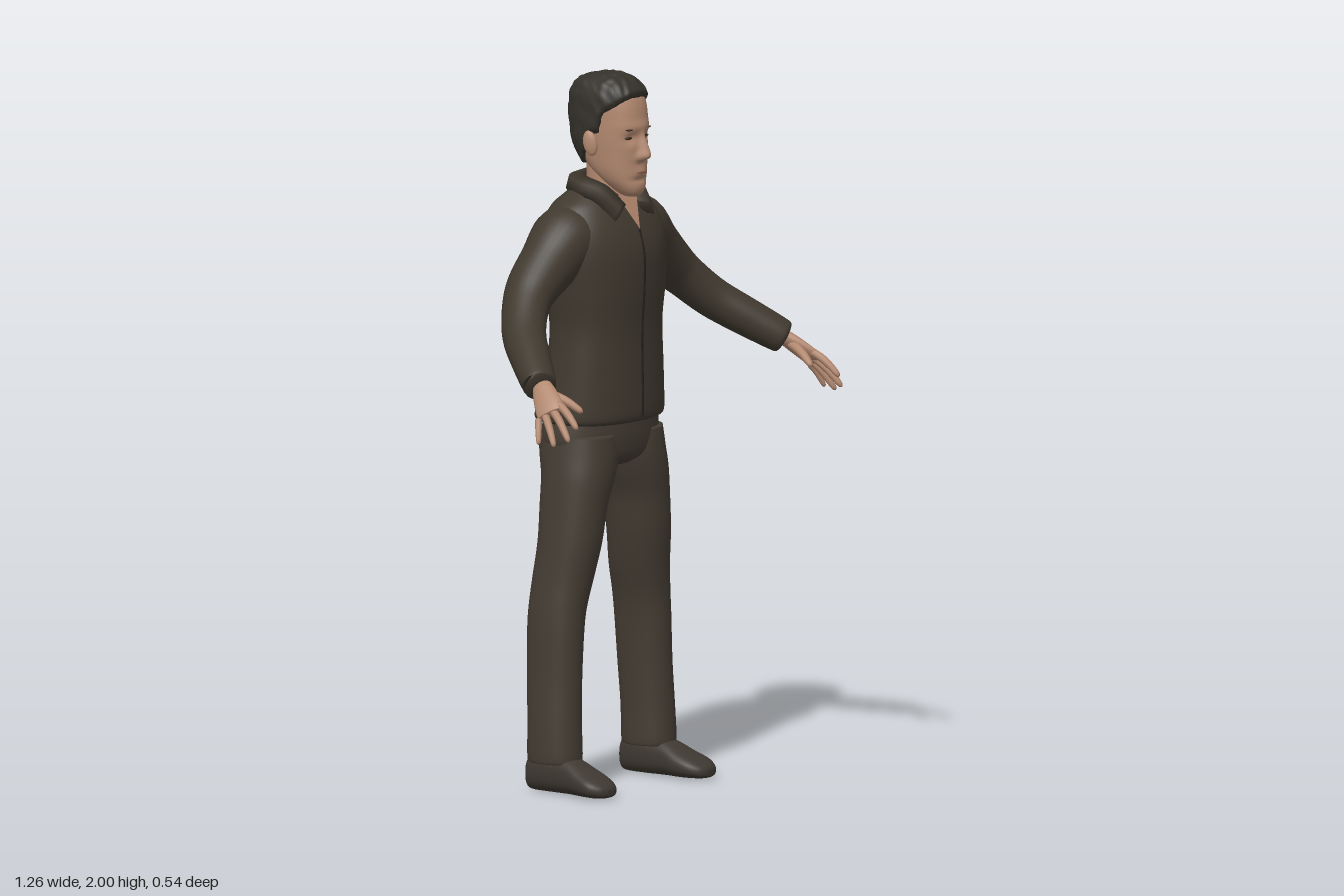
import * as THREE from 'three';

const V = (x, y, z) => new THREE.Vector3(x, y, z);
const mat = (name, color) => {
  const m = new THREE.MeshStandardMaterial({ color });
  m.name = name;
  return m;
};
const power = (v, p) => Math.sign(v) * Math.abs(v) ** p;
const gauss = (v, w) => Math.exp(-((v / w) ** 2));
const { smoothstep, lerp } = THREE.MathUtils;

// Catmull-Rom interpolation between rows of numbers
function spline(rows, steps) {
  const out = [], last = rows.length - 1;
  for (let k = 0; k <= last * steps; k++) {
    const i = Math.min(Math.floor(k / steps), last - 1), t = k / steps - i;
    const a = rows[Math.max(i - 1, 0)], b = rows[i], c = rows[i + 1], d = rows[Math.min(i + 2, last)];
    out.push(b.map((q, n) => q + 0.5 * t * (c[n] - a[n] + t * (2 * a[n] - 5 * q + 4 * c[n] - d[n]
      + t * (3 * (q - c[n]) + d[n] - a[n])))));
  }
  return out;
}

// Capped smooth surface through closed rings of points
function skinRings(rings) {
  const n = rings[0].length, m = rings.length, pos = [], idx = [];
  rings.flat().forEach(p => pos.push(p.x, p.y, p.z));
  for (const r of [rings[0], rings[m - 1]]) {
    const c = r.reduce((s, p) => s.add(p), V(0, 0, 0)).divideScalar(n);
    pos.push(c.x, c.y, c.z);
  }
  for (let j = 0; j < n; j++) {
    const k = (j + 1) % n, e = (m - 1) * n;
    for (let i = 0; i < m - 1; i++) {
      const a = i * n + j, b = i * n + k;
      idx.push(a, b, b + n, a, b + n, a + n);
    }
    idx.push(m * n, k, j, m * n + 1, e + j, e + k);
  }
  const g = new THREE.BufferGeometry();
  g.setAttribute('position', new THREE.Float32BufferAttribute(pos, 3));
  g.setIndex(idx);
  g.computeVertexNormals();
  return g;
}

// Rings along rows [x, y, z, halfWidth, halfDepth]; a fixed axis keeps rings parallel
function ringsAlong(rows, { across = V(1, 0, 0), axis, steps = 5, seg = 32, p = 1 } = {}) {
  const s = spline(rows, steps), at = i => V(...s[Math.min(Math.max(i, 0), s.length - 1)]);
  return s.map((r, i) => {
    const t = axis ? axis.clone() : at(i + 1).sub(at(i - 1)).normalize();
    const u = across.clone().addScaledVector(t, -across.dot(t)).normalize();
    const v = t.clone().cross(u);
    return Array.from({ length: seg }, (_, j) => {
      const a = j / seg * Math.PI * 2;
      return V(r[0], r[1], r[2]).addScaledVector(u, r[3] * power(Math.cos(a), p))
        .addScaledVector(v, r[4] * power(Math.sin(a), p));
    });
  });
}
const loft = (rows, o) => skinRings(ringsAlong(rows, o));
const UP = V(0, 1, 0);
// Rows [y, halfWidth, zFront, zBack] for upright body parts
const upright = rows => rows.map(([y, w, f, b]) => [0, y, (f + b) / 2, w, (f - b) / 2]);

function mirrored(g) {
  const m = g.clone().scale(-1, 1, 1), id = m.index.array;
  for (let i = 0; i < id.length; i += 3) [id[i], id[i + 1]] = [id[i + 1], id[i]];
  m.computeVertexNormals();
  return m;
}

export function createModel() {
  const model = new THREE.Group();
  const jacketMat = mat('jacket cloth', 0x40392f), trouserMat = mat('trouser cloth', 0x443c33);
  const shoeMat = mat('shoe leather', 0x3e3831), hairMat = mat('hair', 0x35312b);
  const skinMat = mat('skin', 0xb2886f), seamMat = mat('seam', 0x241f1a);
  const eyeMat = mat('eyes and brows', 0x3a2a22), lipMat = mat('lips', 0x8f6253);
  const add = (name, g, m) => {
    const mesh = new THREE.Mesh(g, m);
    mesh.name = name;
    model.add(mesh);
    return mesh;
  };
  const pair = (name, g, m) => {
    add('left ' + name, g, m);
    add('right ' + name, mirrored(g), m);
  };
  const blob = (x, y, z, a, b, c) => new THREE.SphereGeometry(1, 20, 14).scale(a, b, c).translate(x, y, z);

  // Jacket body and front seam
  const torso = [[1.03, .188, .015, -.25], [1.043, .2, .03, -.27], [1.1, .195, .032, -.252], [1.2, .186, .03, -.228],
    [1.3, .18, .03, -.222], [1.4, .192, .037, -.235], [1.5, .203, .037, -.25], [1.57, .2, .02, -.245],
    [1.63, .168, -.01, -.22], [1.66, .13, -.03, -.195], [1.685, .085, -.045, -.17], [1.695, .06, -.055, -.15]];
  add('jacket', loft(upright(torso), { axis: UP, seg: 64, p: .88 }), jacketMat);
  const seam = torso.slice(1, 8).map(r => V(.004, r[0], r[2] + .001));
  add('jacket front seam', new THREE.TubeGeometry(new THREE.CatmullRomCurve3(seam), 50, .0035, 6), seamMat);

  // Sleeves
  pair('sleeve', loft([[.1, 1.565, -.115, .08, .09], [.15, 1.545, -.118, .093, .1], [.22, 1.487, -.12, .083, .085],
    [.29, 1.432, -.118, .07, .077], [.345, 1.383, -.1, .06, .068], [.41, 1.318, -.052, .056, .062],
    [.47, 1.263, .022, .053, .056], [.525, 1.213, .095, .048, .048], [.53, 1.209, .1, .042, .042]],
  { across: V(.7, .7, 0) }), jacketMat);

  // Folded collar: inner and outer edge from the front point round to the nape
  const half = [[.026, 1.64, -.003, .085, 1.6, .008], [.052, 1.69, -.045, .115, 1.655, -.045],
    [.07, 1.713, -.1, .11, 1.665, -.115], [.05, 1.722, -.148, .07, 1.675, -.182]];
  const flip = half.map(r => r.map((v, i) => (i % 3 ? v : -v))).reverse();
  const collar = spline([...half, [0, 1.724, -.163, 0, 1.68, -.2], ...flip], 6).map(r => {
    const a = V(r[0], r[1], r[2]), b = V(r[3], r[4], r[5]), mid = a.clone().lerp(b, .5);
    const out = V(mid.x, 0, mid.z + .09).normalize().add(UP).multiplyScalar(.011);
    return [a, mid.clone().add(out), b, mid.sub(out)];
  });
  add('collar', skinRings(collar), jacketMat);

  // Open neckline and neck
  const neckline = new THREE.BufferGeometry().setFromPoints([V(-.042, 1.665, -.022), V(0, 1.572, .026), V(.042, 1.665, -.022)]);
  neckline.setIndex([0, 1, 2]);
  neckline.computeVertexNormals();
  add('neckline', neckline, skinMat);
  add('neck', loft(upright([[1.62, .062, -.022, -.16], [1.68, .056, -.03, -.15], [1.77, .056, -.035, -.15]]),
    { axis: UP }), skinMat);

  // Head with sculpted face
  const head = upright([[1.662, .018, .016, -.025], [1.672, .032, .026, -.045], [1.688, .045, .031, -.07],
    [1.71, .058, .03, -.1], [1.74, .068, .03, -.135], [1.78, .074, .032, -.165], [1.83, .079, .034, -.185],
    [1.88, .08, .032, -.193], [1.92, .08, .025, -.193], [1.95, .075, .012, -.185], [1.975, .06, -.015, -.162],
    [1.988, .03, -.05, -.115]]);
  const headRings = () => ringsAlong(head, { axis: UP, seg: 96, steps: 6, p: .87 });
  const faceRings = headRings();
  faceRings.flat().forEach(q => {
    if (q.z < -.03) return;
    const { x, y } = q, ax = Math.abs(x);
    const nose = smoothstep(y, 1.758, 1.778) * (1 - smoothstep(y, 1.778, 1.86));
    q.z += .034 * nose * gauss(x, .009 + .007 * gauss(y - 1.772, .018))
      - .011 * gauss(ax - .033, .019) * gauss(y - 1.828, .015)
      + .005 * gauss(y - 1.86, .014) * gauss(x, .055)
      + .006 * gauss(y - 1.732, .014) * gauss(x, .026)
      - .004 * gauss(y - 1.711, .008) * gauss(x, .03);
  });
  add('head', skinRings(faceRings), skinMat);
  pair('ear', blob(0, 0, 0, .011, .036, .021).rotateX(-.2).rotateY(-.25).translate(.088, 1.812, -.08), skinMat);
  pair('eye', blob(.035, 1.829, .013, .014, .0045, .009), eyeMat);
  pair('eyebrow', blob(.036, 1.853, .02, .017, .003, .009), eyeMat);
  add('lips', blob(0, 1.732, .029, .021, .005, .009), lipMat);

  // Hair: the skull pushed outwards above the hairline and inwards below it
  const hairline = [[-.2, 1.735], [-.13, 1.745], [-.105, 1.79], [-.085, 1.835], [-.057, 1.84], [-.045, 1.895],
    [-.01, 1.915], [.015, 1.938], [.1, 1.94]];
  const lineAt = z => {
    let i = 1;
    while (i < hairline.length - 1 && z > hairline[i][0]) i++;
    const [a, b] = [hairline[i - 1], hairline[i]];
    return lerp(a[1], b[1], THREE.MathUtils.clamp((z - a[0]) / (b[0] - a[0]), 0, 1));
  };
  const hair = headRings(), centre = V(0, 1.85, -.085);
  hair.flat().forEach(q => {
    const tuft = .0022 * Math.sin(q.x * 190 + 2 * Math.sin(q.z * 70)) * Math.sin(q.z * 150 + q.y * 120);
    const off = lerp(-.014, .012 + tuft, smoothstep(q.y - lineAt(q.z), -.012, .014));
    q.addScaledVector(q.clone().sub(centre).normalize(), off);
  });
  add('hair', skinRings(hair), hairMat);

  // Hands
  const palmAcross = V(.035, -.04, -.045);
  pair('palm', loft([[.505, 1.232, .072, .026, .02], [.527, 1.21, .105, .027, .02], [.545, 1.188, .132, .035, .019],
    [.567, 1.159, .165, .041, .016], [.579, 1.143, .181, .038, .011]], { across: palmAcross, seg: 24 }), skinMat);
  const fingers = {
    thumb: [[.532, 1.19, .13], [.5, 1.142, .23], .013],
    'index finger': [[.556, 1.17, .188], [.572, 1.108, .27], .0115],
    'middle finger': [[.568, 1.155, .177], [.596, 1.075, .26], .0115],
    'ring finger': [[.581, 1.14, .162], [.614, 1.06, .222], .011],
    'little finger': [[.593, 1.126, .149], [.624, 1.063, .175], .0095],
  };
  for (const [name, [a, b, r]] of Object.entries(fingers)) {
    const rows = [[0, 1], [.3, 1], [.6, .92], [.88, .75], [.97, .5], [1, .15]].map(([t, s]) => [
      lerp(a[0], b[0], t), lerp(a[1], b[1], t) + .03 * t * (1 - t), lerp(a[2], b[2], t), r * s, r * s]);
    pair(name, loft(rows, { across: palmAcross, seg: 12, steps: 3 }), skinMat);
  }

  // Trousers
  add('trouser seat', loft(upright([[.905, .1, -.04, -.16], [.93, .16, -.005, -.205], [.97, .195, .005, -.235],
    [1.02, .194, .007, -.24], [1.08, .175, .005, -.21]]), { axis: UP, seg: 48, p: .9 }), trouserMat);
  pair('trouser leg', loft([[.205, .09, -.11, .058, .073], [.205, .1, -.11, .065, .081], [.203, .2, -.113, .064, .08],
    [.197, .32, -.118, .063, .082], [.19, .45, -.12, .065, .085], [.182, .52, -.119, .068, .086],
    [.166, .6, -.113, .074, .089], [.15, .7, -.102, .079, .093], [.136, .8, -.1, .083, .098],
    [.116, .88, -.1, .094, .105], [.102, .94, -.108, .099, .113], [.1, 1.0, -.115, .092, .115]],
  { axis: UP, seg: 40, p: .93 }), trouserMat);

  // Shoes
  pair('shoe', loft([[.205, .045, -.192, .02, .03], [.205, .055, -.182, .039, .05], [.205, .06, -.12, .047, .056],
    [.208, .056, -.045, .05, .051], [.212, .043, .015, .058, .038], [.217, .034, .06, .056, .028],
    [.217, .027, .09, .037, .018], [.217, .024, .1, .015, .009]], { axis: V(0, 0, 1), seg: 32, p: .82 }), shoeMat);

  return model;
}
